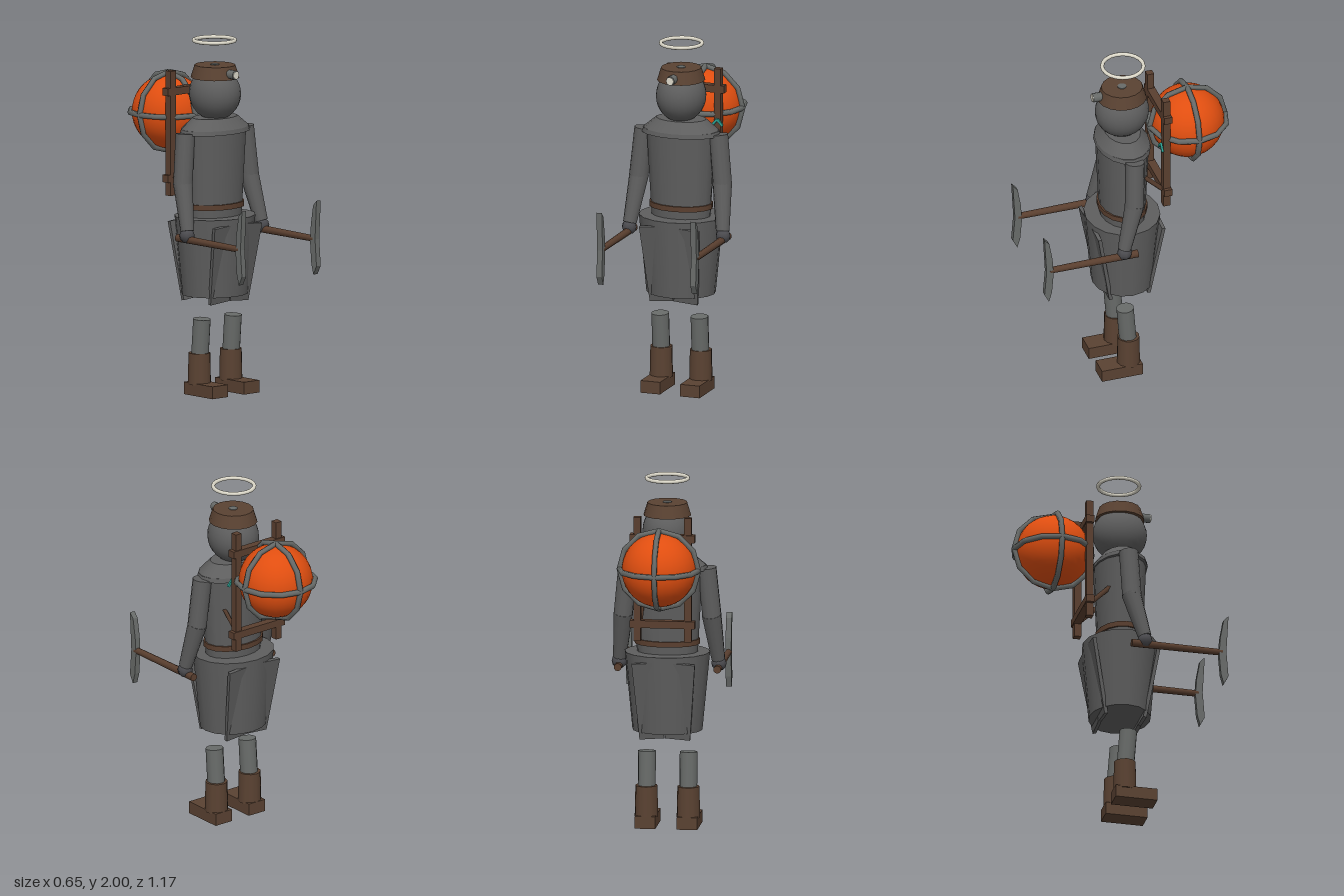
import * as THREE from 'three';

const V = (x, y, z) => new THREE.Vector3(x, y, z);
const mat = (name, color) => {
  const m = new THREE.MeshStandardMaterial({ color });
  m.name = name;
  return m;
};

export function createModel() {
  const root = new THREE.Group();
  root.name = 'miner';
  const grey = mat('armour grey', 0x5e5e5e);
  const steel = mat('steel', 0x686b69);
  const dark = mat('glove grey', 0x4c4c50);
  const brown = mat('leather brown', 0x5a4232);
  const wood = mat('wood brown', 0x5a3f2f);
  const cream = mat('cream', 0xdedacb);
  const orange = mat('orange', 0xe04e10);
  const teal = mat('teal', 0x2a9d8f);

  const add = (name, geo, material, x = 0, y = 0, z = 0, parent = root) => {
    const m = new THREE.Mesh(geo, material);
    m.name = name;
    m.position.set(x, y, z);
    parent.add(m);
    return m;
  };
  const box = (name, w, h, d, material, x, y, z) =>
    add(name, new THREE.BoxGeometry(w, h, d), material, x, y, z);
  // Tapered limb or rod from a to b
  const rod = (name, a, b, ra, rb, material, sides = 12) => {
    const dir = b.clone().sub(a);
    const m = add(name, new THREE.CylinderGeometry(rb, ra, dir.length(), sides), material);
    m.position.copy(a).addScaledVector(dir, 0.5);
    m.quaternion.setFromUnitVectors(V(0, 1, 0), dir.normalize());
    return m;
  };
  // Oval tapered body section between two heights
  const CZ = 0.035;
  const oval = (name, rTop, rBottom, y0, y1, depth, material, sides = 16) => {
    const g = new THREE.CylinderGeometry(rTop, rBottom, y1 - y0, sides);
    const m = add(name, g, material, 0, (y0 + y1) / 2, CZ);
    m.scale.z = depth;
    return m;
  };

  // Body
  oval('skirt', 0.24, 0.197, 0.56, 1.005, 0.88, grey);
  oval('torso', 0.2, 0.17, 0.98, 1.49, 0.725, grey);
  oval('belt', 0.184, 0.184, 1.05, 1.08, 0.75, wood);
  oval('collarRim', 0.222, 0.23, 1.475, 1.5, 0.66, grey);
  oval('collar', 0.145, 0.218, 1.5, 1.56, 0.68, grey);

  // Head, cap, lamp and halo
  const head = add('head', new THREE.SphereGeometry(0.15, 24, 16), grey, 0, 1.69, CZ);
  head.scale.set(0.93, 1, 1.02);
  oval('cap', 0.112, 0.134, 1.78, 1.852, 1.04, brown);
  oval('capButton', 0.025, 0.025, 1.85, 1.856, 1, steel);
  rod('lampBody', V(0, 1.812, 0.14), V(0, 1.812, 0.208), 0.026, 0.026, steel, 8);
  rod('lampGlass', V(0, 1.812, 0.206), V(0, 1.812, 0.213), 0.022, 0.022, cream, 8);
  const halo = add('halo', new THREE.TorusGeometry(0.116, 0.011, 8, 20), cream, 0, 1.99, 0.03);
  halo.rotation.x = Math.PI / 2;

  // Pick blade outline, drawn as (forward, up)
  const blade = new THREE.Shape([
    [0.535, 0.88], [0.545, 0.76], [0.562, 0.7], [0.588, 0.75],
    [0.576, 0.9], [0.588, 1.12], [0.56, 1.09], [0.541, 0.98],
  ].map(([z, y]) => new THREE.Vector2(z, y)));
  const bladeGeo = new THREE.ExtrudeGeometry(blade, { depth: 0.032, bevelEnabled: false });
  bladeGeo.translate(0, 0, -0.016).rotateY(-Math.PI / 2);

  for (const s of [-1, 1]) {
    const side = s > 0 ? 'left' : 'right';

    // Skirt panels, front and back
    for (const f of [1, -1]) {
      const p = box(side + (f > 0 ? 'FrontPanel' : 'BackPanel'), 0.14, 0.45, 0.02, grey,
        s * 0.09, 0.748, CZ + f * 0.15);
      p.rotation.set(f * 0.17, 0, -s * 0.08);
    }

    // Arm
    const elbow = V(s * 0.25, 1.2, 0.045), wrist = V(s * 0.277, 0.95, 0.112);
    rod(side + 'UpperArm', V(s * 0.222, 1.485, 0.033), elbow, 0.054, 0.054, grey);
    rod(side + 'Forearm', V(s * 0.248, 1.215, 0.042), wrist, 0.055, 0.038, grey);
    add(side + 'Hand', new THREE.SphereGeometry(0.043, 8, 6), dark, s * 0.28, 0.925, 0.113);

    // Pick
    rod(side + 'PickHandle', V(s * 0.28, 0.903, 0.035), V(s * 0.28, 0.9, 0.555), 0.022, 0.018, wood, 10);
    add(side + 'PickHead', bladeGeo, steel, s * 0.28, 0, 0);

    // Leg and boot
    rod(side + 'Leg', V(s * 0.117, 0.2, 0.038), V(s * 0.117, 0.43, 0.056), 0.05, 0.05, steel);
    rod(side + 'BootShaft', V(s * 0.118, 0.06, 0.036), V(s * 0.118, 0.237, 0.036), 0.066, 0.062, brown);
    box(side + 'BootFoot', 0.115, 0.07, 0.24, brown, s * 0.118, 0.035, 0.09);

    // Pack frame post and strap
    box(side + 'FramePost', 0.04, 0.705, 0.04, wood, s * 0.143, 1.455, -0.175);
    rod(side + 'FrameStrap', V(s * 0.13, 1.315, -0.04), V(s * 0.13, 1.2, -0.16), 0.014, 0.014, wood, 4);

    // One arm of the teal chevron marker
    const c = box(side + 'ChevronArm', 0.048, 0.014, 0.012, teal, 0.147 + s * 0.016, 1.502, -0.145);
    c.rotation.z = -s * 0.85;
  }

  // Pack frame crossbars
  for (const y of [1.2, 1.69]) box('frameCrossbar', 0.365, 0.042, 0.046, wood, 0, y, -0.178);

  // Caged globe on the back
  const globe = new THREE.Group();
  globe.name = 'cagedGlobe';
  globe.position.set(0, 1.543, -0.348);
  root.add(globe);
  add('globe', new THREE.SphereGeometry(0.208, 28, 20), orange, 0, 0, 0, globe);
  const ringGeo = new THREE.TorusGeometry(0.222, 0.016, 6, 12);
  for (const [rx, ry] of [[0, 0], [Math.PI / 2, 0], [0, Math.PI / 2]]) {
    add('cageRing', ringGeo, steel, 0, 0, 0, globe).rotation.set(rx, ry, 0);
  }
  return root;
}
